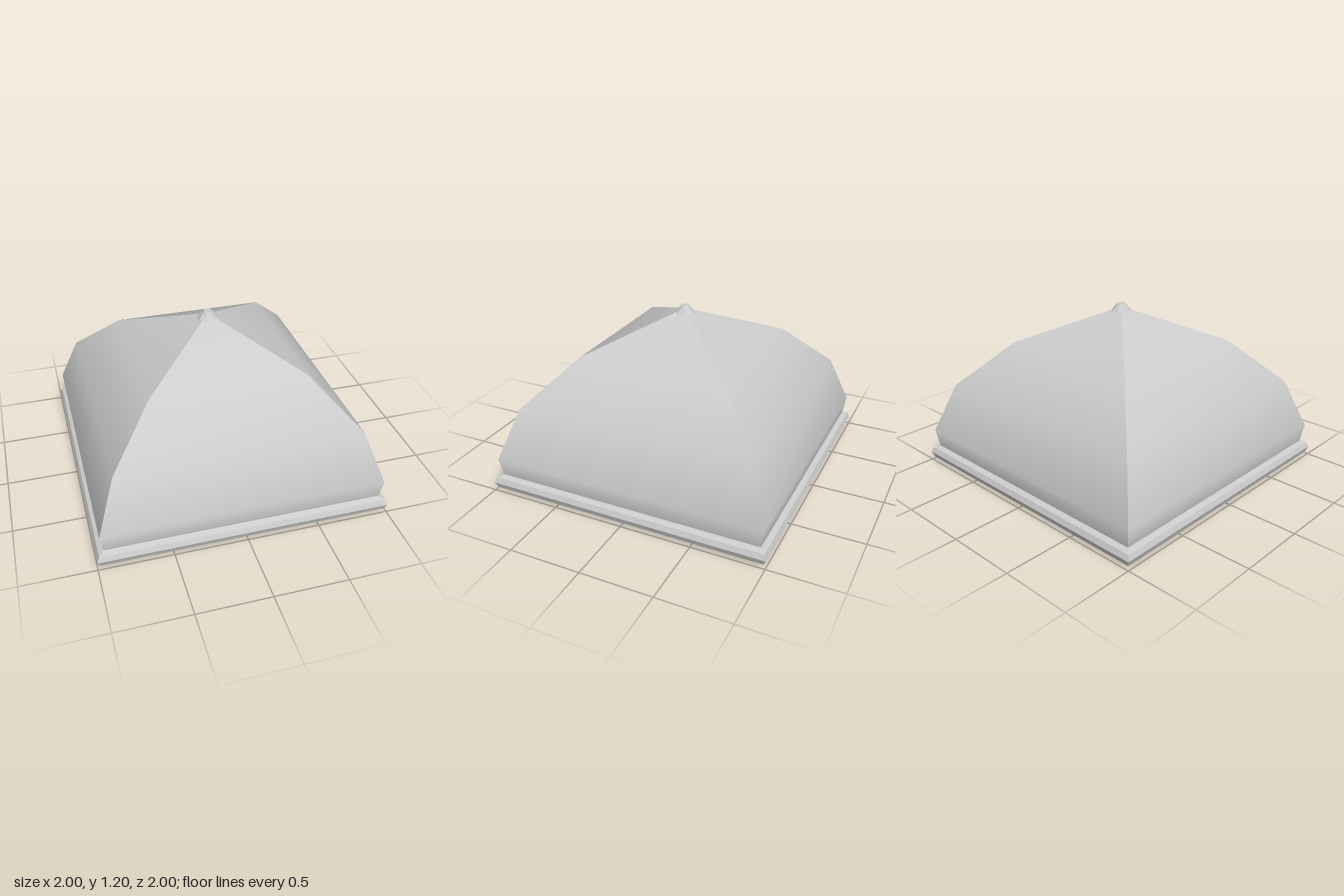
import * as THREE from 'three';

const material = new THREE.MeshStandardMaterial({ color: 0xcccccc });
const flatMaterial = new THREE.MeshStandardMaterial({ color: 0xcccccc, flatShading: true });

// One side of a square form: a profile of [half width, height] points, bottom to top,
// mitred at 45 degrees so that four turned copies meet in sharp hips.
function sideGeometry(profile) {
  const positions = [];
  const index = [];
  profile.forEach(([r, y], i) => {
    positions.push(-r, y, r, r, y, r);
    if (i === 0) return;
    const a = 2 * (i - 1);
    index.push(a, a + 1, a + 3);
    if (r > 0) index.push(a, a + 3, a + 2);
  });
  const geometry = new THREE.BufferGeometry();
  geometry.setAttribute('position', new THREE.Float32BufferAttribute(positions, 3));
  geometry.setIndex(index);
  geometry.computeVertexNormals();
  return geometry;
}

function squareForm(name, profile, mat) {
  const group = new THREE.Group();
  group.name = name;
  const geometry = sideGeometry(profile);
  for (let i = 0; i < 4; i++) {
    const side = new THREE.Mesh(geometry, mat);
    side.name = name + 'Side';
    side.rotation.y = (i * Math.PI) / 2;
    group.add(side);
  }
  return group;
}

export function createModel() {
  const model = new THREE.Group();
  model.name = 'squareDome';

  // Rounded moulding around the foot
  model.add(squareForm('baseMoulding', [
    [0.95, 0], [0.985, 0.02], [1, 0.06], [0.985, 0.097], [0.95, 0.113],
  ], flatMaterial));

  // Flat underside
  const underside = new THREE.Mesh(new THREE.PlaneGeometry(1.9, 1.9), material);
  underside.name = 'underside';
  underside.rotation.x = Math.PI / 2;
  model.add(underside);

  // Four curved dome faces rising to a point, smooth along the curve
  model.add(squareForm('dome', [
    [0.95, 0.113], [0.97, 0.24], [0.843, 0.597], [0.535, 0.918], [0, 1.177],
  ], material));

  // Small eight-sided cap on the point
  const finial = new THREE.Mesh(new THREE.CylinderGeometry(0.027, 0.088, 0.07, 8), flatMaterial);
  finial.name = 'finial';
  finial.position.y = 1.165;
  finial.rotation.y = Math.PI / 8;
  model.add(finial);

  return model;
}
